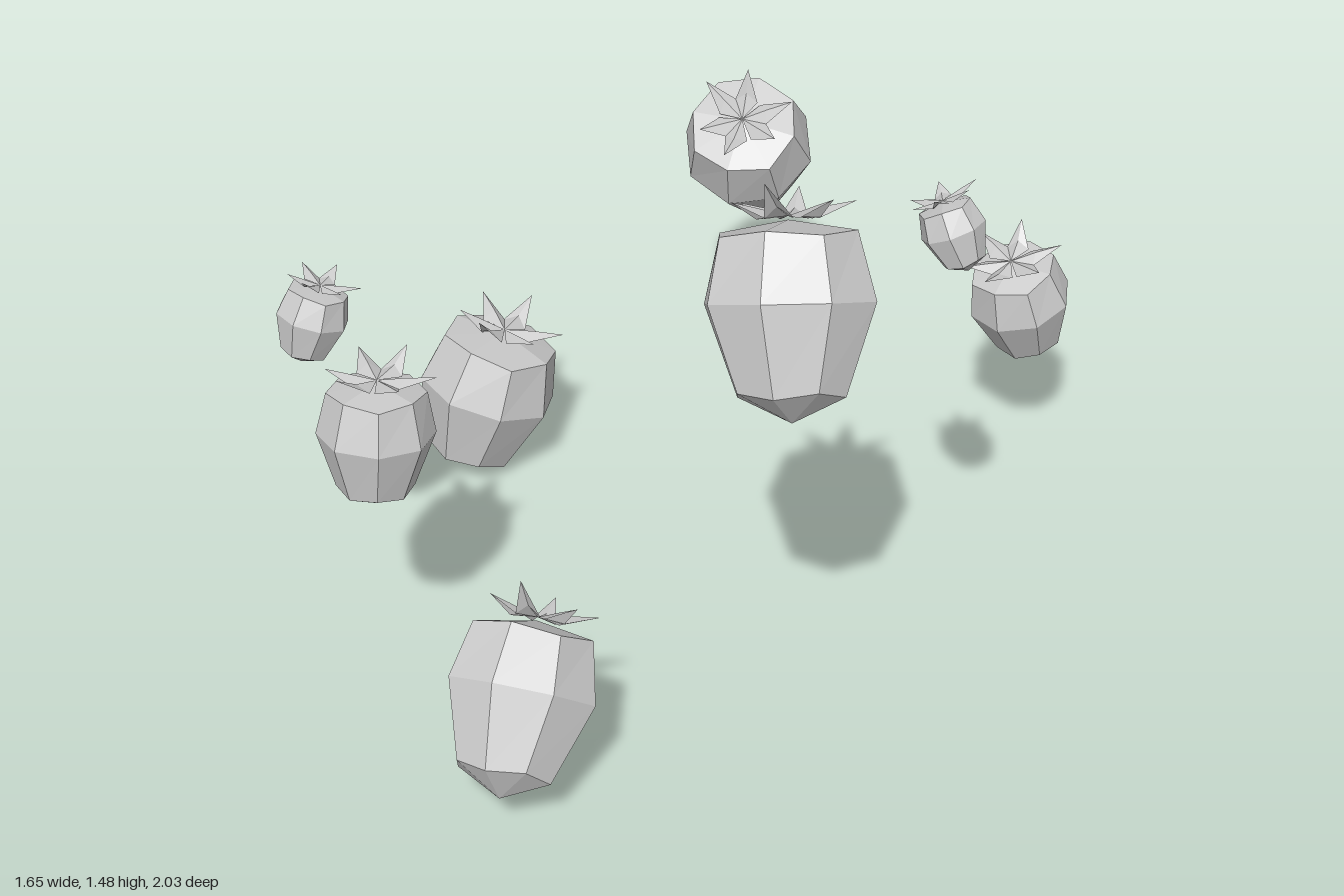
import * as THREE from 'three';

const SIDES = 8;
// body rings: [radius, height, zigzag of alternate corners], unit radius
const RINGS = [[0.63, -0.98, 0.06], [1, 0, 0], [0.8, 0.74, -0.05]];
const BOTTOM = -1.25, TOP = 0.86;

const bodyMaterial = new THREE.MeshStandardMaterial({ color: 0xcccccc, flatShading: true });
const leafMaterial = new THREE.MeshStandardMaterial({
  color: 0xcccccc, flatShading: true, side: THREE.DoubleSide,
});

function meshGeometry(positions, indices) {
  const g = new THREE.BufferGeometry();
  g.setAttribute('position', new THREE.Float32BufferAttribute(positions, 3));
  g.setIndex(indices);
  const flat = g.toNonIndexed();
  flat.computeVertexNormals();
  return flat;
}

// Faceted fruit: three eight-sided rings closed by a point at each end
function bodyGeometry() {
  const p = [], idx = [];
  for (const [r, y, zig] of RINGS) {
    for (let i = 0; i < SIDES; i++) {
      const a = (i / SIDES) * Math.PI * 2;
      const rr = r * (i % 2 && r < 1 ? 1.05 : 1);
      p.push(Math.sin(a) * rr, y + (i % 2 ? zig : 0), Math.cos(a) * rr);
    }
  }
  const low = p.length / 3, high = low + 1;
  p.push(0, BOTTOM, 0, 0, TOP, 0);
  for (let i = 0; i < SIDES; i++) {
    const j = (i + 1) % SIDES;
    for (let k = 0; k < RINGS.length - 1; k++) {
      const a = k * SIDES + i, b = k * SIDES + j;
      idx.push(a, b, b + SIDES, a, b + SIDES, a + SIDES);
    }
    const t = (RINGS.length - 1) * SIDES;
    idx.push(low, j, i, high, t + i, t + j);
  }
  return meshGeometry(p, idx);
}

// Star of six pointed leaves, each folded along its middle
function calyxGeometry() {
  const p = [], idx = [], count = 6;
  for (let i = 0; i < count; i++) {
    const a = (i / count) * Math.PI * 2 + (i % 2) * 0.12;
    const long = i % 2 ? 0.78 : 0.92;
    const lift = i % 3 === 0 ? 1.22 : 1.05;
    const at = (angle, r, y) => p.push(Math.sin(angle) * r, y, Math.cos(angle) * r);
    const o = p.length / 3;
    at(a, 0, 0.9);
    at(a - 0.5, 0.42, 0.87);
    at(a, 0.45, 0.99);
    at(a + 0.5, 0.42, 0.87);
    at(a, long, lift);
    idx.push(o, o + 1, o + 2, o, o + 2, o + 3, o + 1, o + 4, o + 2, o + 2, o + 4, o + 3);
  }
  return meshGeometry(p, idx);
}

// centre, direction of the leafy end, radius, spin, calyx width
const BERRIES = [
  { at: [-0.655, 0.22, -0.065], up: [0.15, 0.95, -0.27], r: 0.172, spin: 0.1, leaf: 0.9 },
  { at: [0.61, 1.215, 0.45], up: [-0.33, 0.85, -0.4], r: 0.178, spin: 0.3, leaf: 0.85 },
  { at: [0.755, 1.262, 0.09], up: [-0.45, 0.88, 0], r: 0.068, spin: 0.5, leaf: 1.3 },
  { at: [-0.405, 0.942, 0.755], up: [0.1, 0.93, -0.3], r: 0.079, spin: 0.2, leaf: 1.2 },
  { at: [-0.23, 0.725, 0.765], up: [-0.05, 0.97, -0.15], r: 0.128, spin: 0, leaf: 1.1 },
  { at: [0.21, 0.277, 0.83], up: [-0.25, 0.7, -0.65], r: 0.17, spin: 0.25, leaf: 0.85 },
  { at: [0.385, 0.48, -0.86], up: [-0.12, 0.95, 0.25], r: 0.126, spin: 0.1, leaf: 1.1 },
  { at: [-0.42, 0.642, -0.835], up: [0.25, 0.8, 0.52], r: 0.167, spin: 0.3, leaf: 0.85 },
];

export function createModel() {
  const model = new THREE.Group();
  model.name = 'floatingStrawberries';
  const bodyGeo = bodyGeometry(), calyxGeo = calyxGeometry();
  const yAxis = new THREE.Vector3(0, 1, 0);

  BERRIES.forEach(({ at, up, r, spin, leaf }, i) => {
    const berry = new THREE.Group();
    berry.name = `strawberry${i + 1}`;
    const body = new THREE.Mesh(bodyGeo, bodyMaterial);
    body.name = 'fruitBody';
    const calyx = new THREE.Mesh(calyxGeo, leafMaterial);
    calyx.name = 'leafyCalyx';
    calyx.scale.set(leaf, 1, leaf);
    berry.add(body, calyx);

    // tilt the fruit, then turn it about its own axis
    const tilt = new THREE.Vector3(...up).normalize();
    berry.quaternion.setFromUnitVectors(yAxis, tilt);
    berry.rotateY(spin);
    berry.scale.set(r, r * 1.06, r);
    berry.position.set(...at);
    model.add(berry);
  });
  return model;
}
